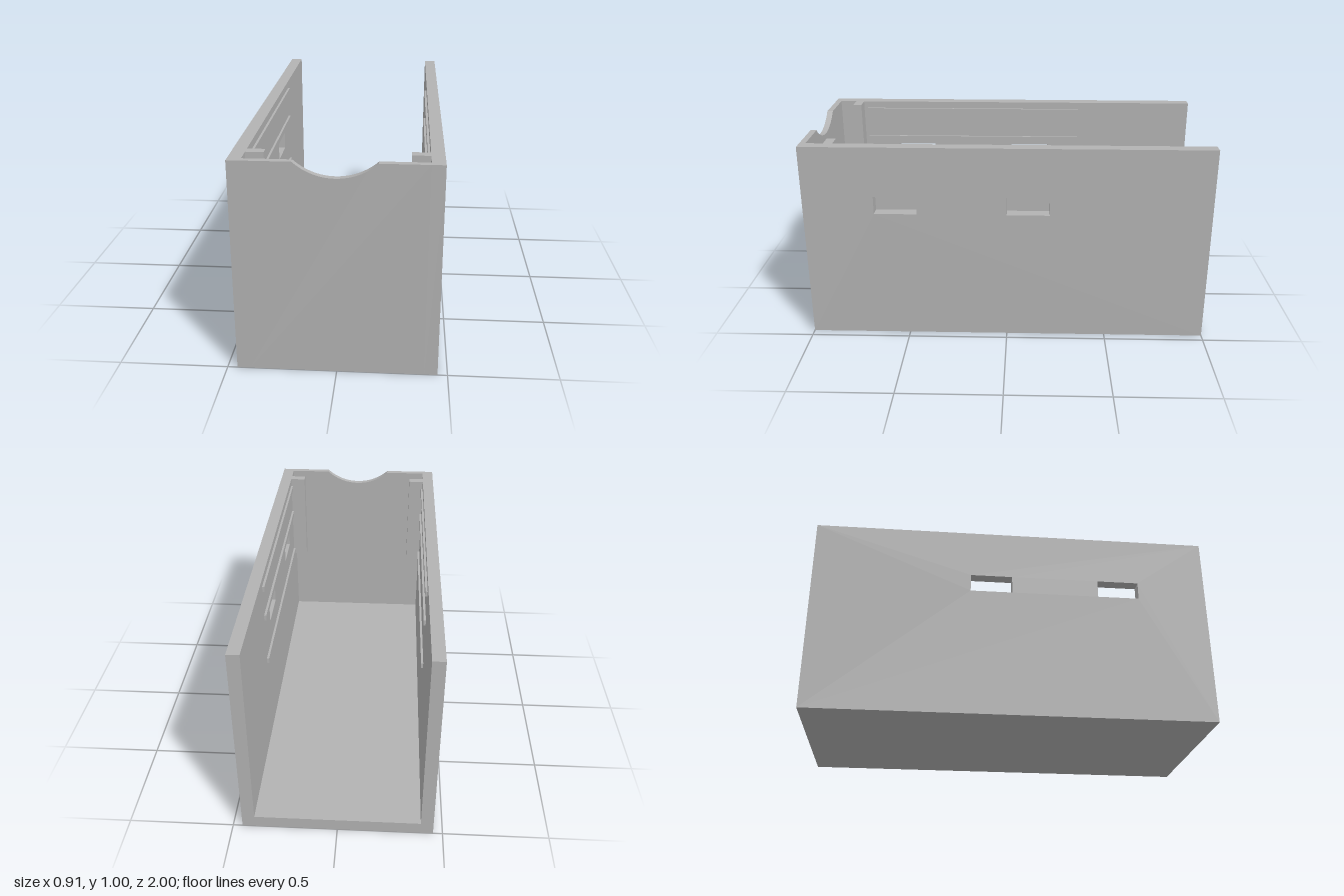
import * as THREE from 'three';

const W = 0.455;        // outer half width
const IN = 0.395;       // inner half width
const T = W - IN;       // side wall and floor thickness
const FRONT_IN = 0.97;  // inner face of the front panel

const grey = new THREE.MeshStandardMaterial({ color: 0xb3b3b3 });
grey.name = 'grey';

function add(group, name, geometry) {
  const mesh = new THREE.Mesh(geometry, grey);
  mesh.name = name;
  group.add(mesh);
}

// Box given by its minimum and maximum corners
function box(x0, x1, y0, y1, z0, z1) {
  return new THREE.BoxGeometry(x1 - x0, y1 - y0, z1 - z0)
    .translate((x0 + x1) / 2, (y0 + y1) / 2, (z0 + z1) / 2);
}

function rectangle(path, a0, a1, b0, b1) {
  path.moveTo(a0, b0);
  path.lineTo(a1, b0);
  path.lineTo(a1, b1);
  path.lineTo(a0, b1);
  path.closePath();
  return path;
}

// Side wall profile in (z, y) with two window slots
function wallGeometry() {
  const shape = rectangle(new THREE.Shape(), -1, 1, 0, 1);
  for (const [z0, z1] of [[-0.21, 0], [0.44, 0.65]]) {
    shape.holes.push(rectangle(new THREE.Path(), z0, z1, 0.66, 0.75));
  }
  return new THREE.ExtrudeGeometry(shape, { depth: T, bevelEnabled: false }).rotateY(-Math.PI / 2);
}

// Front panel with a shallow arc cut from its top edge
function frontGeometry() {
  const half = 0.18, depth = 0.07;
  const r = (half * half + depth * depth) / (2 * depth);
  const cy = 1 - depth + r;
  const a = Math.asin(half / r);
  const shape = new THREE.Shape();
  shape.moveTo(-IN, 0);
  shape.lineTo(IN, 0);
  shape.lineTo(IN, 1);
  shape.lineTo(half, 1);
  shape.absarc(0, cy, r, -Math.PI / 2 + a, -Math.PI / 2 - a, true);
  shape.lineTo(-IN, 1);
  shape.closePath();
  return new THREE.ExtrudeGeometry(shape, { depth: 1 - FRONT_IN, bevelEnabled: false, curveSegments: 24 })
    .translate(0, 0, FRONT_IN);
}

export function createModel() {
  const model = new THREE.Group();
  model.name = 'openBox';

  add(model, 'floor', box(-IN, IN, 0, T, -1, FRONT_IN));
  add(model, 'frontPanel', frontGeometry());

  for (const s of [1, -1]) {
    const side = s > 0 ? 'left' : 'right';
    add(model, side + 'Wall', wallGeometry().translate(s > 0 ? W : -IN, 0, 0));

    // Guide post behind the front panel, reaching halfway down
    const post = s > 0 ? [0.315, IN] : [-IN, -0.315];
    add(model, side + 'Post', box(...post, 0.5, 1, 0.84, 0.885));

    // Thin rails along the inner wall
    const rail = s > 0 ? [0.384, IN] : [-IN, -0.384];
    for (const top of [0.963, 0.8, 0.543]) {
      add(model, side + 'Rail', box(...rail, top - 0.028, top, -0.38, 0.82));
    }
  }
  return model;
}
